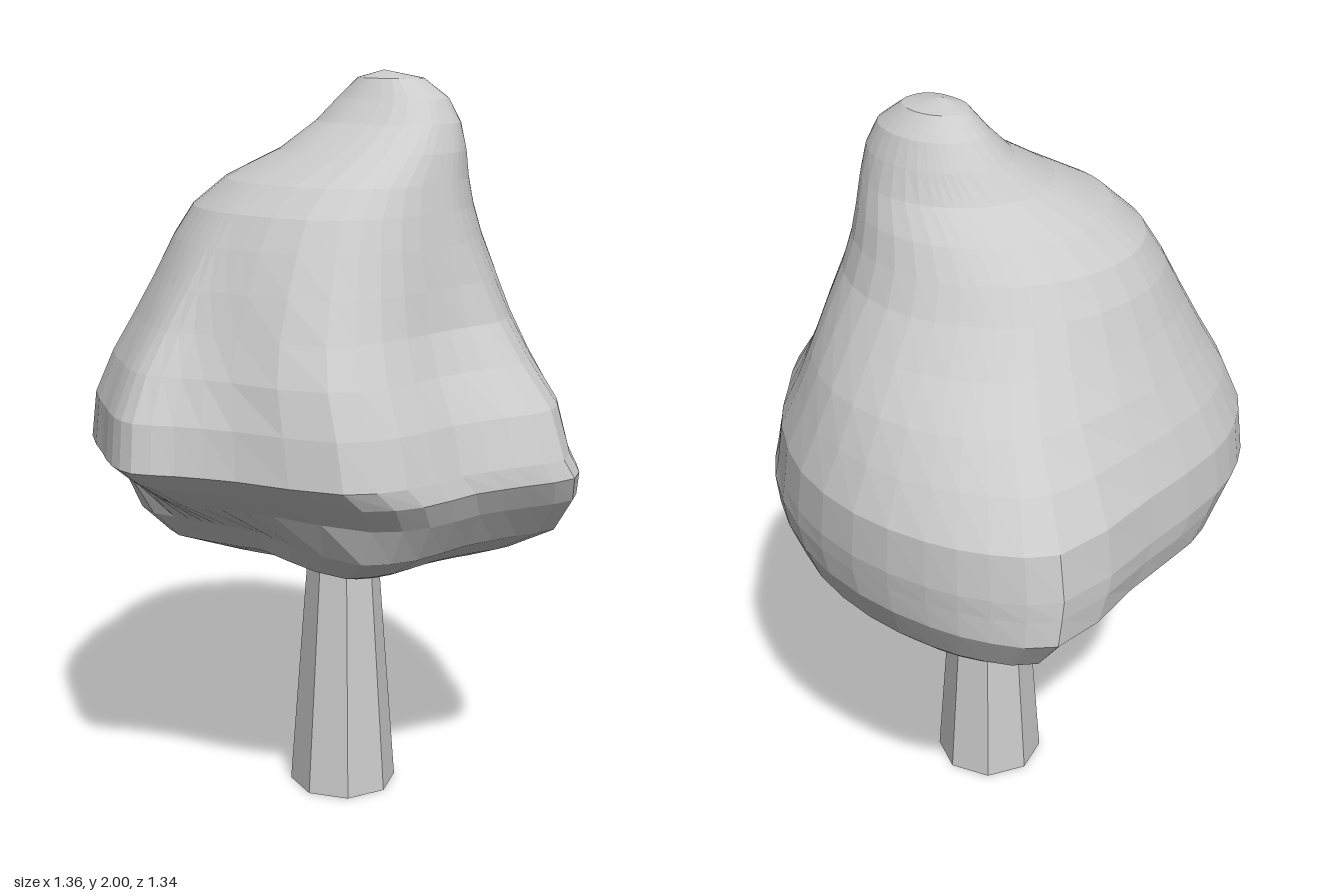
import * as THREE from 'three';

// Lumpy plan outline of the crown at its widest, clockwise from the back right corner (x, z)
const OUTLINE = [
  [-0.67, -0.44], [-0.55, -0.56], [-0.40, -0.63], [-0.18, -0.67], [0.07, -0.64], [0.30, -0.53],
  [0.46, -0.39], [0.60, -0.25], [0.67, -0.12], [0.62, 0.02], [0.56, 0.17], [0.53, 0.35],
  [0.44, 0.48], [0.17, 0.56], [0.02, 0.62], [-0.08, 0.67], [-0.17, 0.65], [-0.28, 0.58],
  [-0.44, 0.47], [-0.54, 0.34], [-0.60, 0.19], [-0.64, -0.10],
];

// Crown levels from the underside to the tip: y, min x, max x, min z, max z
const LEVELS = [
  [0.68, 0.10, 0.10, -0.10, -0.10],
  [0.70, -0.12, 0.26, -0.32, 0.05],
  [0.72, -0.33, 0.35, -0.47, 0.21],
  [0.76, -0.52, 0.45, -0.54, 0.32],
  [0.83, -0.61, 0.58, -0.61, 0.38],
  [0.93, -0.68, 0.65, -0.655, 0.51],
  [1.00, -0.68, 0.675, -0.665, 0.61],
  [1.05, -0.68, 0.655, -0.67, 0.67],
  [1.17, -0.665, 0.61, -0.665, 0.65],
  [1.28, -0.61, 0.52, -0.62, 0.59],
  [1.38, -0.55, 0.45, -0.57, 0.52],
  [1.48, -0.49, 0.41, -0.50, 0.46],
  [1.58, -0.44, 0.375, -0.43, 0.40],
  [1.66, -0.39, 0.35, -0.39, 0.35],
  [1.73, -0.31, 0.33, -0.36, 0.28],
  [1.80, -0.19, 0.31, -0.32, 0.15],
  [1.87, -0.13, 0.28, -0.29, 0.03],
  [1.93, -0.08, 0.24, -0.26, -0.03],
  [1.98, -0.02, 0.17, -0.21, -0.07],
  [2.00, 0.06, 0.06, -0.13, -0.13],
];

const { lerp, smoothstep } = THREE.MathUtils;

// Plan point (u, v within -1..1) reshaped for height y
function planAt(p, y) {
  // Rounded off towards the tip, with a fuller front left
  const round = smoothstep(y, 1.1, 1.7);
  const len = Math.hypot(p.x, p.z);
  const c = p.x / len, s = p.z / len;
  const full = c > 0 && s > 0 ? 1 + 0.12 * (2 * c * s) ** 2 * smoothstep(y, 1.1, 1.4) : 1;
  let u = lerp(p.x, c, round) * full;
  let v = lerp(p.z, s, round) * full;
  // Below the rim the front corners hang down, with hollows between the lobes
  const low = 1 - smoothstep(y, 0.82, 0.97);
  const pull = (t) => 1 - 0.15 * low * Math.max(0, 1 - Math.abs(t)) ** 2;
  if (v > 0) v = lerp(v, Math.min(1, v / 0.75), low) * pull(u);
  if (u < 0) u *= pull(v);
  return [u, v];
}

function crownGeometry() {
  const curve = new THREE.CatmullRomCurve3(
    OUTLINE.map(([x, z]) => new THREE.Vector3(x / 0.67, 0, z / 0.67)), true, 'centripetal');
  const sides = 44; // every outline corner plus one step between
  const plan = curve.getPoints(sides).slice(0, sides);
  const positions = [], index = [];

  // Fit the plan to the extents of each level
  for (const [y, x0, x1, z0, z1] of LEVELS) {
    for (const p of plan) {
      const [u, v] = planAt(p, y);
      positions.push((x0 + x1) / 2 + u * (x1 - x0) / 2, y, (z0 + z1) / 2 + v * (z1 - z0) / 2);
    }
  }

  // Join neighbouring levels; the first and last are single points
  const last = LEVELS.length - 2;
  for (let j = 0; j <= last; j++) {
    for (let k = 0; k < sides; k++) {
      const a = j * sides + k, b = j * sides + (k + 1) % sides;
      if (j < last) index.push(a, a + sides, b + sides);
      if (j > 0) index.push(a, b + sides, b);
    }
  }
  const geometry = new THREE.BufferGeometry();
  geometry.setAttribute('position', new THREE.Float32BufferAttribute(positions, 3));
  geometry.setIndex(index);
  const flat = geometry.toNonIndexed();
  flat.computeVertexNormals();
  return flat;
}

export function createModel() {
  const model = new THREE.Group();
  model.name = 'tree';
  const material = new THREE.MeshStandardMaterial({ color: 0xcccccc, flatShading: true });

  const crown = new THREE.Mesh(crownGeometry(), material);
  crown.name = 'crown';

  // Tapered eight-sided trunk, running up into the crown
  const trunk = new THREE.Mesh(new THREE.CylinderGeometry(0.09, 0.15, 0.8, 8), material);
  trunk.name = 'trunk';
  trunk.position.set(-0.01, 0.4, -0.05);

  model.add(crown, trunk);
  return model;
}
